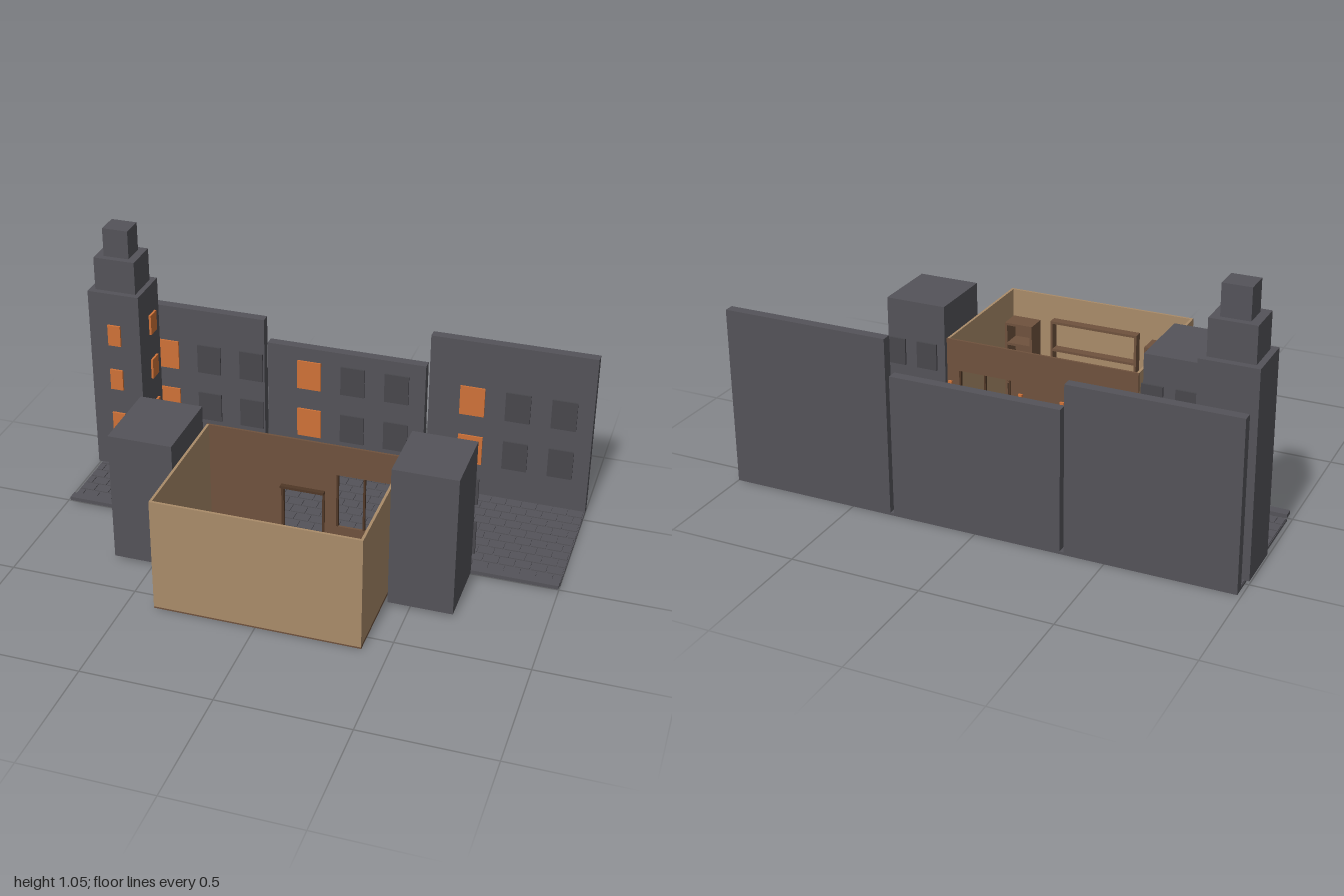
import * as THREE from 'three';
import { mergeGeometries } from 'three/addons/utils/BufferGeometryUtils.js';

const mat = (name, color) => {
  const m = new THREE.MeshStandardMaterial({ color });
  m.name = name;
  return m;
};

export function createModel() {
  const root = new THREE.Group();
  const stone = mat('dark stone', 0x545359);
  const unlit = mat('unlit glass', 0x48474c);
  const glow = mat('orange glow', 0xcf7238);
  const plaster = mat('tan plaster', 0xa98b69);
  const wood = mat('brown wood', 0x6f523d);
  const darkWood = mat('dark wood', 0x503827);
  const iron = mat('black iron', 0x2b2b2f);

  const group = (name, parent = root) => {
    const g = new THREE.Group();
    g.name = name;
    parent.add(g);
    return g;
  };
  // Box given by its extents on each axis
  const boxGeo = (x0, x1, y0, y1, z0, z1) =>
    new THREE.BoxGeometry(x1 - x0, y1 - y0, z1 - z0)
      .translate((x0 + x1) / 2, (y0 + y1) / 2, (z0 + z1) / 2);
  const box = (name, parent, m, ...e) => {
    const mesh = new THREE.Mesh(boxGeo(...e), m);
    mesh.name = name;
    parent.add(mesh);
    return mesh;
  };

  // Street slab, cobbles in staggered rows, and kerb
  const street = group('street');
  box('roadSlab', street, stone, -0.985, 1, 0, 0.01, -0.58, -0.022);
  const stones = [];
  const rows = 10, pitch = 0.062, depth = 0.0515;
  for (let r = 0; r < rows; r++) {
    const z = -0.538 + r * depth;
    for (let x = -0.983 - (r % 2) * pitch / 2; x < 0.995; x += pitch) {
      const a = Math.max(x, -0.983), b = Math.min(x + pitch - 0.006, 0.998);
      if (b - a > 0.008) stones.push(boxGeo(a, b, 0.009, 0.014, z, z + depth - 0.006));
    }
  }
  const cobbles = new THREE.Mesh(mergeGeometries(stones), stone);
  cobbles.name = 'cobbles';
  street.add(cobbles);
  box('kerb', street, stone, -0.985, 1, 0.012, 0.027, -0.022, 0.015);

  // Flat house fronts across the street, each with one lit column of windows
  const houses = [
    [-0.985, -0.347, 0.655, -0.77],
    [-0.332, 0.328, 0.557, -0.155],
    [0.343, 1, 0.697, 0.52],
  ];
  for (const [x0, x1, top, firstX] of houses) {
    const house = group('streetHouse');
    box('houseWall', house, stone, x0, x1, 0.01, top, -0.58, -0.541);
    for (let c = 0; c < 3; c++) for (const y of [0.153, 0.373]) {
      const x = firstX + c * 0.183;
      box('houseWindow', house, c ? unlit : glow, x - 0.05, x + 0.05, y, y + 0.126, -0.542, -0.534);
    }
  }

  // Stepped tower with lit windows on two sides
  const tower = group('tower');
  box('towerBase', tower, stone, -1, -0.785, 0.012, 0.798, -0.498, -0.3);
  box('towerMiddle', tower, stone, -0.977, -0.806, 0.798, 0.935, -0.471, -0.325);
  box('towerTop', tower, stone, -0.944, -0.838, 0.935, 1.053, -0.446, -0.351);
  for (let i = 0; i < 3; i++) {
    const y = 0.175 + i * 0.199;
    box('towerFrontWindow', tower, glow, -0.92, -0.866, y, y + 0.089, -0.3, -0.291);
    box('towerSideWindow', tower, glow, -0.785, -0.776, y + 0.017, y + 0.102, -0.455, -0.396);
  }

  // Plain neighbours either side of the shop, windows towards the street
  const neighbours = [
    [-0.655, -0.403, 0.545, 0.325, [-0.575, -0.44]],
    [0.418, 0.665, 0.588, 0.292, [0.495, 0.632]],
  ];
  for (const [x0, x1, top, z1, cols] of neighbours) {
    const n = group('neighbourHouse');
    box('neighbourBlock', n, stone, x0, x1, 0.015, top, 0.01, z1);
    for (const x of cols) for (const [a, b] of [[0.1, 0.24], [0.318, 0.427]])
      box('neighbourWindow', n, unlit, x - 0.043, x + 0.043, a, b, 0.002, 0.011);
  }

  // Open-topped shop: floor and three plaster walls
  const shop = group('shop');
  const X0 = -0.39, X1 = 0.402, H = 0.467;
  box('shopFloor', shop, wood, X0, X1, 0.004, 0.016, 0.03, 0.578);
  box('frontWall', shop, plaster, X0, X1, 0.012, H, 0.57, 0.58);
  box('rightWall', shop, plaster, X0, X0 + 0.01, 0.012, H, 0.003, 0.57);
  box('leftWall', shop, plaster, X1 - 0.01, X1, 0.012, H, 0.003, 0.57);

  // Street wall with a doorway and a display window
  const face = new THREE.Shape();
  [[X0, 0.016], [-0.08, 0.016], [-0.08, 0.255], [0.075, 0.255], [0.075, 0.016], [X1, 0.016], [X1, H], [X0, H]]
    .forEach(([x, y], i) => (i ? face.lineTo(x, y) : face.moveTo(x, y)));
  const hole = new THREE.Path();
  hole.moveTo(0.13, 0.11).lineTo(0.13, 0.34).lineTo(0.35, 0.34).lineTo(0.35, 0.11).closePath();
  face.holes.push(hole);
  const streetWall = new THREE.Mesh(
    new THREE.ExtrudeGeometry(face, { depth: 0.009, bevelEnabled: false }).translate(0, 0, -0.003), wood);
  streetWall.name = 'streetWall';
  shop.add(streetWall);
  for (const x of [0.13, 0.236, 0.342])
    box('windowBar', shop, darkWood, x, x + 0.008, 0.11, 0.34, -0.005, 0.006);
  for (const x of [-0.09, 0.075])
    box('doorPost', shop, darkWood, x, x + 0.01, 0.016, 0.255, -0.007, 0.008);
  box('doorLintel', shop, darkWood, -0.09, 0.085, 0.25, 0.26, -0.007, 0.025);
  for (const x of [-0.384, -0.085, 0.088, 0.388])
    box('wallLamp', shop, glow, x - 0.008, x + 0.008, 0.275, 0.293, -0.013, -0.002);

  // Bookcases and a wide rack, open towards the room
  const shelving = (name, x0, x1, z0, z1, top, levels, backed) => {
    const g = group(name, shop);
    const t = 0.01;
    for (const x of [x0, x1 - t]) box('upright', g, wood, x, x + t, 0.016, top, z0, z1);
    for (let i = 0; i <= levels; i++) {
      const y = 0.016 + (top - 0.016 - t) * i / levels;
      box('shelf', g, wood, x0 + t, x1 - t, y, y + t, z0, z1);
    }
    if (backed) box('backBoard', g, wood, x0 + t, x1 - t, 0.016, top, z1 - 0.006, z1);
  };
  shelving('bookcase', -0.358, -0.238, 0.443, 0.528, 0.37, 4, true);
  shelving('bookcase', 0.25, 0.37, 0.443, 0.528, 0.37, 4, true);
  shelving('wideRack', -0.182, 0.193, 0.5, 0.537, 0.385, 3, false);

  // Small table
  const table = group('table', shop);
  box('tableTop', table, wood, 0.165, 0.305, 0.12, 0.132, 0.16, 0.236);
  for (const x of [0.17, 0.29]) for (const z of [0.165, 0.221])
    box('tableLeg', table, wood, x, x + 0.01, 0.016, 0.12, z, z + 0.01);

  // Dark oval figure with outstretched arms in the middle of the room
  const figure = group('figure', shop);
  figure.position.set(0.055, 0.016, 0.275);
  const profile = [[0, 0], [0.056, 0], [0.045, 0.06], [0.03, 0.14], [0.012, 0.17], [0, 0.172]]
    .map(([x, y]) => new THREE.Vector2(x, y));
  const body = new THREE.Mesh(new THREE.LatheGeometry(profile, 20).scale(1, 1, 0.7), iron);
  body.name = 'body';
  const head = new THREE.Mesh(new THREE.SphereGeometry(0.024, 16, 12).translate(0, 0.19, 0), iron);
  head.name = 'head';
  const arms = new THREE.Mesh(
    new THREE.CylinderGeometry(0.006, 0.006, 0.2, 10).rotateZ(Math.PI / 2).translate(0, 0.135, 0), iron);
  arms.name = 'arms';
  figure.add(body, head, arms);

  return root;
}
